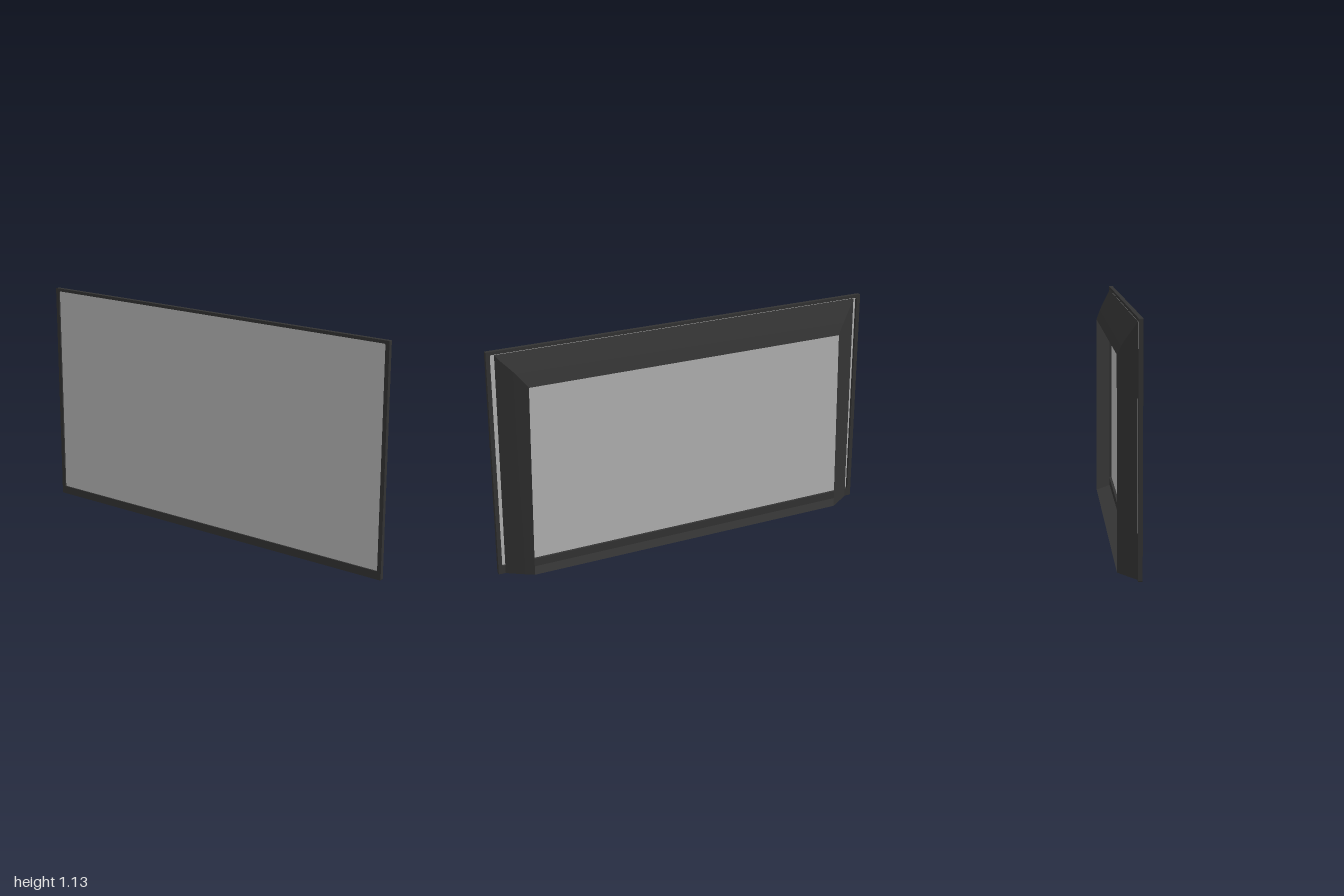
import * as THREE from 'three';

const casing = new THREE.MeshStandardMaterial({ name: 'dark casing', color: 0x333333, side: THREE.DoubleSide });
const glass = new THREE.MeshStandardMaterial({ name: 'grey screen', color: 0xb4b4b4, side: THREE.DoubleSide });

const HEIGHT = 1.13, FRONT = 0.05, BACK = -0.05, RIM = 0.03;
const OPENING = { x: 0.98, bottom: 0.04, top: 1.115 };

// Cross-sections of the hollow back shell, from the bezel to the rear opening
const sections = [
  { z: RIM, xTop: 0.96, xBottom: 0.965, top: 1.113 },
  { z: 0.012, xTop: 0.933, xBottom: 0.94, top: 1.08 },
  { z: -0.005, xTop: 0.906, xBottom: 0.915, top: 1.053 },
  { z: -0.02, xTop: 0.882, xBottom: 0.892, top: 1.027 },
  { z: -0.035, xTop: 0.856, xBottom: 0.87, top: 0.995 },
  { z: BACK, xTop: 0.83, xBottom: 0.845, top: 0.96 },
];

function rectangle(path, x, bottom, top, r) {
  path.moveTo(-x + r, bottom);
  path.lineTo(x - r, bottom);
  path.quadraticCurveTo(x, bottom, x, bottom + r);
  path.lineTo(x, top - r);
  path.quadraticCurveTo(x, top, x - r, top);
  path.lineTo(-x + r, top);
  path.quadraticCurveTo(-x, top, -x, top - r);
  path.lineTo(-x, bottom + r);
  path.quadraticCurveTo(-x, bottom, -x + r, bottom);
  return path;
}

// One side of the shell: a strip swept between two corner rails
function shellSide(name, railA, railB) {
  const positions = [], index = [];
  sections.forEach((s, i) => {
    positions.push(...railA(s), s.z, ...railB(s), s.z);
    if (i > 0) {
      const a = 2 * (i - 1);
      index.push(a, a + 1, a + 3, a, a + 3, a + 2);
    }
  });
  const geometry = new THREE.BufferGeometry();
  geometry.setAttribute('position', new THREE.Float32BufferAttribute(positions, 3));
  geometry.setIndex(index);
  geometry.computeVertexNormals();
  const mesh = new THREE.Mesh(geometry, casing);
  mesh.name = name;
  return mesh;
}

export function createModel() {
  const model = new THREE.Group();
  model.name = 'flatScreen';

  // Thin bezel around the screen, deeper along the bottom
  const outline = rectangle(new THREE.Shape(), 1, 0, HEIGHT, 0.004);
  outline.holes.push(rectangle(new THREE.Path(), OPENING.x, OPENING.bottom, OPENING.top, 0.008));
  const bezelGeometry = new THREE.ExtrudeGeometry(outline, { depth: FRONT - RIM, bevelEnabled: false, curveSegments: 4 });
  bezelGeometry.translate(0, 0, RIM);
  const bezel = new THREE.Mesh(bezelGeometry, casing);
  bezel.name = 'bezel';

  // Screen panel, slightly recessed and visible from behind through the shell
  const screen = new THREE.Mesh(
    new THREE.PlaneGeometry(2 * OPENING.x, OPENING.top - OPENING.bottom), glass);
  screen.name = 'screen';
  screen.position.set(0, (OPENING.top + OPENING.bottom) / 2, 0.043);

  // Tapered back shell, open at the rear
  const topLeft = s => [s.xTop, s.top], topRight = s => [-s.xTop, s.top];
  const bottomLeft = s => [s.xBottom, 0], bottomRight = s => [-s.xBottom, 0];
  const shell = new THREE.Group();
  shell.name = 'backShell';
  shell.add(
    shellSide('shellTop', topLeft, topRight),
    shellSide('shellRight', topRight, bottomRight),
    shellSide('shellBottom', bottomRight, bottomLeft),
    shellSide('shellLeft', bottomLeft, topLeft));

  model.add(bezel, screen, shell);
  return model;
}
